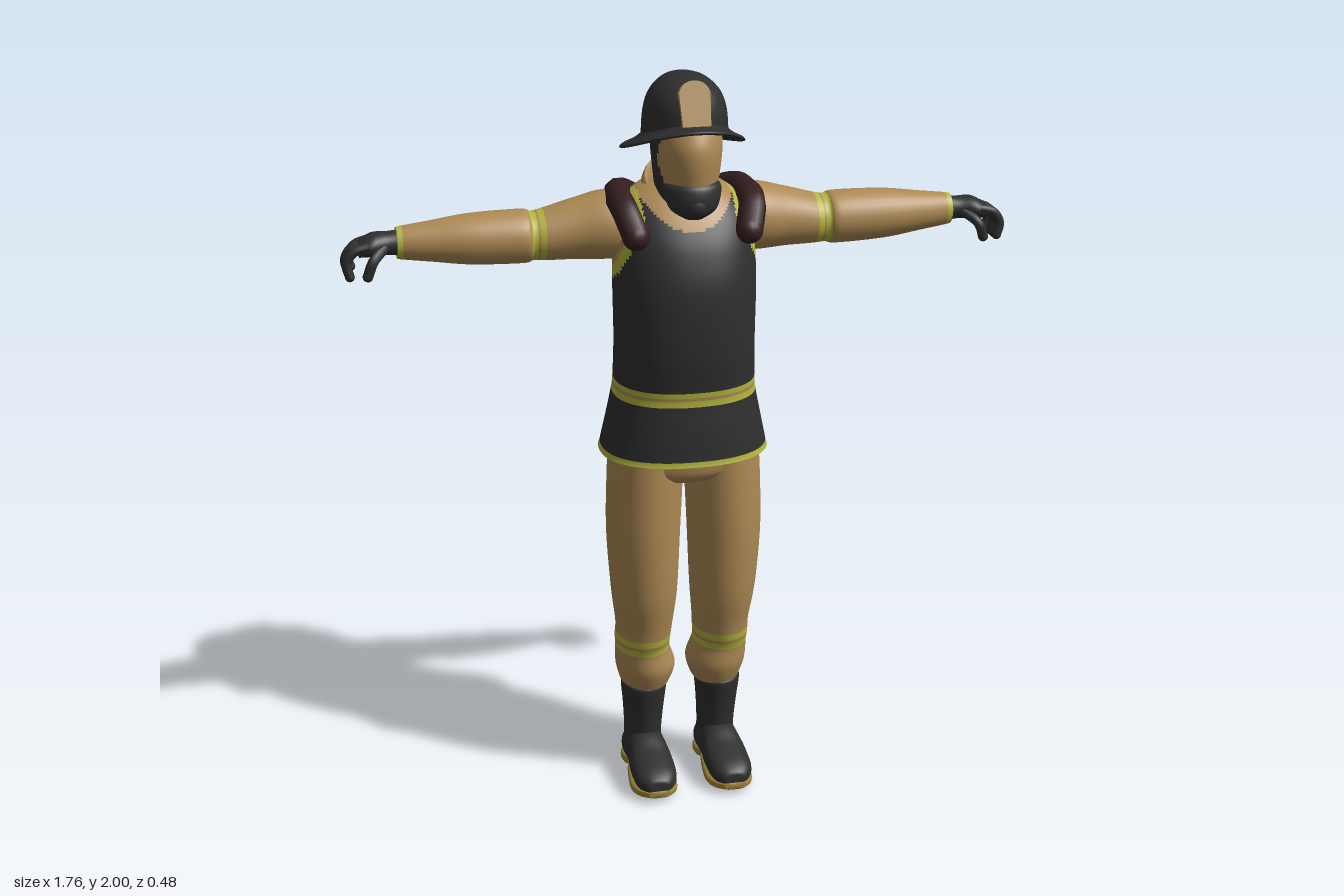
import * as THREE from 'three';

const mat = (name, color) => {
  const m = new THREE.MeshStandardMaterial({ color });
  m.name = name;
  return m;
};

// Catmull-Rom blend of one ring parameter
const blend = (a, b, c, d, t) =>
  0.5 * (2 * b + (c - a) * t + (2 * a - 5 * b + 4 * c - d) * t * t + (3 * b - a - 3 * c + d) * t * t * t);

// Places a ring point: s = sine part, c = cosine part, t = distance along the axis
const AXES = {
  x: (t, s, c) => [t, c, s],
  y: (t, s, c) => [s, t, c],
  z: (t, s, c) => [c, s, t],
};

// Smooth closed skin through rings [t, sineCentre, cosineCentre, sineRadius, cosineRadius].
// pick(x, y, z) gives the material index of each patch; warp moves finished points.
function loft(name, axis, rings, mats, { pick = () => 0, warp, n = 32, steps = 6, e = 2 } = {}) {
  const pos = [], rows = (rings.length - 1) * steps + 1;
  const pw = v => Math.sign(v) * Math.abs(v) ** (2 / e);
  const add = p => pos.push(...(warp ? warp(...p) : p));
  const ringAt = k => {
    const i = Math.min(Math.floor(k / steps), rings.length - 2), t = k / steps - i;
    const R = j => rings[Math.max(0, Math.min(rings.length - 1, j))];
    return R(i).map((_, q) => blend(R(i - 1)[q], R(i)[q], R(i + 1)[q], R(i + 2)[q], t));
  };
  for (let k = 0; k < rows; k++) {
    const [t, cs, cc, rs, rc] = ringAt(k);
    for (let j = 0; j < n; j++) {
      const a = (j / n) * Math.PI * 2;
      add(AXES[axis](t, cs + rs * pw(Math.sin(a)), cc + rc * pw(Math.cos(a))));
    }
  }
  for (const r of [rings[0], rings[rings.length - 1]]) add(AXES[axis](r[0], r[1], r[2]));
  const list = [].concat(mats), idx = list.map(() => []);
  const face = (...v) => {
    const mid = q => v.reduce((s, i) => s + pos[i * 3 + q], 0) / v.length;
    const out = idx[pick(mid(0), mid(1), mid(2))];
    out.push(v[0], v[1], v[2]);
    if (v.length > 3) out.push(v[0], v[2], v[3]);
  };
  for (let j = 0; j < n; j++) {
    const j2 = (j + 1) % n, last = (rows - 1) * n;
    for (let k = 0; k < rows - 1; k++) face(k * n + j, k * n + j2, (k + 1) * n + j2, (k + 1) * n + j);
    face(rows * n, j2, j);
    face(rows * n + 1, last + j, last + j2);
  }
  const g = new THREE.BufferGeometry();
  g.setAttribute('position', new THREE.Float32BufferAttribute(pos, 3));
  g.setIndex(idx.flat());
  let start = 0;
  idx.forEach((a, i) => { g.addGroup(start, a.length, i); start += a.length; });
  g.computeVertexNormals();
  return mesh(name, g, list.length > 1 ? list : list[0]);
}

function mesh(name, geo, material) {
  const m = new THREE.Mesh(geo, material);
  m.name = name;
  return m;
}

function tube(name, pts, r, material, seg = 20) {
  const curve = new THREE.CatmullRomCurve3(pts.map(p => new THREE.Vector3(...p)));
  return mesh(name, new THREE.TubeGeometry(curve, seg, r, 10), material);
}

function ball(name, r, p, material) {
  return mesh(name, new THREE.SphereGeometry(r, 16, 12).translate(...p), material);
}

// Reflected copy on the other side, with corner order turned round
function mirrored(m) {
  const g = m.geometry.clone().scale(-1, 1, 1), a = g.index.array;
  for (let i = 0; i < a.length; i += 3) [a[i], a[i + 1]] = [a[i + 1], a[i]];
  g.computeVertexNormals();
  return mesh(m.name.replace('left', 'right'), g, m.material);
}

export function createModel() {
  const tan = mat('tan cloth', 0xae8a55), dark = mat('charcoal', 0x2f2f2f);
  const yellow = mat('reflective yellow', 0xb3b53c), maroon = mat('maroon strap', 0x341e20);
  const gold = mat('gold', 0x9f8537);
  const model = new THREE.Group();
  model.name = 'firefighter';
  const both = m => model.add(m, mirrored(m));
  // Two reflective stripes with a thin cloth line between
  const stripe = (v, a, b) => v > a && v < b && Math.abs(v - (a + b) / 2) > (b - a) * 0.1;

  // Vest with hem, belt, armholes and neckline
  model.add(loft('vest', 'y', [
    [1.0, 0, 0.04, 0.19, 0.15], [0.985, 0, 0.04, 0.224, 0.178], [1.0, 0, 0.04, 0.222, 0.178],
    [1.08, 0, 0.045, 0.205, 0.17], [1.15, 0, 0.047, 0.191, 0.163], [1.19, 0, 0.05, 0.187, 0.163],
    [1.3, 0, 0.057, 0.184, 0.171], [1.45, 0, 0.058, 0.186, 0.17], [1.55, 0, 0.053, 0.184, 0.153],
    [1.62, 0, 0.04, 0.178, 0.133], [1.67, 0, 0.027, 0.15, 0.11], [1.7, 0, 0.015, 0.11, 0.09], [1.715, 0, 0.01, 0.07, 0.07],
  ], [dark, tan, yellow], {
    n: 96, steps: 8, e: 2.3,
    pick: (x, y, z) => {
      if (y < 1.003) return Math.hypot(x / 0.21, (z - 0.04) / 0.165) < 1 ? 1 : 2;
      if (y > 1.15 && y < 1.192) return stripe(y, 1.15, 1.192) ? 2 : 1;
      const d = Math.hypot(y - 1.59, z - 0.02);
      if (Math.abs(x) > 0.12 && d < 0.125) return d < 0.095 ? 1 : 2;
      if (z > 0 && y > 1.61 + x * x * 5) return 1;
      return z <= 0 && y > 1.6 + x * x * 2 ? 1 : 0;
    },
  }));

  // Collar, higher at the back
  model.add(loft('collar', 'y', [
    [1.61, 0, 0.03, 0.145, 0.115], [1.665, 0, 0.025, 0.115, 0.105], [1.715, 0, 0.02, 0.1, 0.095],
    [1.722, 0, 0.02, 0.088, 0.083], [1.67, 0, 0.02, 0.075, 0.07],
  ], tan, { warp: (x, y, z) => [x, y - 0.5 * z, z] }));

  // Shoulder strap running over both shoulders and round the back
  const half = [[0.148, 1.605, 0.16], [0.166, 1.66, 0.115], [0.168, 1.675, 0.03], [0.148, 1.67, -0.045], [0.08, 1.63, -0.085]];
  const other = half.map(([x, y, z]) => [-x, y, z]).reverse();
  model.add(tube('shoulderStrap', [...half, [0, 1.605, -0.095], ...other], 0.036, maroon, 70));
  half.slice(0, 1).forEach(p => both(ball('left strap end', 0.036, p, maroon)));

  // Head, breathing mask and face
  model.add(loft('head', 'y', [
    [1.6, 0, 0.02, 0.07, 0.07], [1.66, 0, 0.045, 0.07, 0.095], [1.7, 0, 0.068, 0.076, 0.128],
    [1.76, 0, 0.077, 0.084, 0.137], [1.83, 0, 0.078, 0.09, 0.139], [1.89, 0, 0.07, 0.088, 0.12],
  ], [dark, tan], {
    n: 64, steps: 10,
    pick: (x, y, z) => (y > 1.725 && z > 0.115 + 0.5 * Math.abs(y - 1.79) ? 1 : 0),
  }));
  model.add(loft('breathingMask', 'y', [
    [1.648, 0, 0.165, 0.025, 0.025], [1.67, 0, 0.16, 0.058, 0.055], [1.7, 0, 0.155, 0.071, 0.066],
    [1.73, 0, 0.148, 0.073, 0.068], [1.742, 0, 0.145, 0.06, 0.06],
  ], dark));
  model.add(ball('maskValve', 0.036, [0, 1.687, 0.188], dark));

  // Helmet: crown, tilted brim and front plate
  const slope = z => 0.25 * (z - 0.035);
  model.add(loft('helmetCrown', 'y', [
    [1.825, 0, 0.06, 0.111, 0.137], [1.9, 0, 0.06, 0.106, 0.131], [1.95, 0, 0.06, 0.09, 0.114],
    [1.985, 0, 0.06, 0.056, 0.076], [1.999, 0, 0.06, 0.015, 0.025],
  ], dark, { n: 40, warp: (x, y, z) => [x, y + slope(z) * Math.max(0, Math.min(1, (1.98 - y) / 0.16)), z] }));
  model.add(loft('helmetBrim', 'y', [
    [1.835, 0, 0.06, 0.09, 0.115], [1.828, 0, 0.045, 0.13, 0.17], [1.829, 0, 0.035, 0.156, 0.205],
    [1.837, 0, 0.035, 0.154, 0.203], [1.845, 0, 0.05, 0.125, 0.16], [1.86, 0, 0.06, 0.1, 0.128],
  ], dark, { n: 48, warp: (x, y, z) => [x, y + slope(z) - x * x, z] }));
  const plate = new THREE.Shape();
  plate.moveTo(-0.036, -0.055).lineTo(0.036, -0.055).lineTo(0.04, 0.03);
  plate.quadraticCurveTo(0.03, 0.06, 0, 0.06).quadraticCurveTo(-0.03, 0.06, -0.04, 0.03);
  const badge = mesh('helmetFrontPlate', new THREE.ExtrudeGeometry(plate, { depth: 0.03, bevelEnabled: false }), tan);
  badge.position.set(0, 1.933, 0.157);
  badge.rotation.x = -0.34;
  model.add(badge);

  // Sleeves
  both(loft('left sleeve', 'x', [
    [0.12, 0.015, 1.6, 0.09, 0.085], [0.2, 0.008, 1.6, 0.094, 0.09], [0.28, 0.004, 1.592, 0.081, 0.079],
    [0.355, 0.002, 1.582, 0.073, 0.068], [0.39, 0.003, 1.58, 0.066, 0.064], [0.42, 0.008, 1.582, 0.072, 0.07],
    [0.55, 0.008, 1.583, 0.067, 0.066], [0.65, 0.006, 1.583, 0.052, 0.053], [0.72, 0.004, 1.583, 0.04, 0.044],
    [0.738, 0.004, 1.583, 0.037, 0.041],
  ], [tan, yellow], { steps: 10, pick: x => (x > 0.722 || stripe(x, 0.36, 0.397) ? 1 : 0) }));

  // Gloves with curled fingers
  both(loft('left glove', 'x', [
    [0.715, 0.004, 1.583, 0.033, 0.036], [0.76, 0.005, 1.585, 0.034, 0.03],
    [0.8, 0.008, 1.584, 0.045, 0.03], [0.835, 0.01, 1.575, 0.04, 0.02],
  ], dark));
  for (let i = 0; i < 4; i++) {
    const z = 0.008 + (i - 1.5) * 0.023, k = i === 0 ? 0.008 : 0;
    both(tube('left finger', [[0.81, 1.588, z], [0.85 - k, 1.576, z], [0.869 - k, 1.545, z], [0.862 - k, 1.512 + k, z]], 0.0125, dark));
    both(ball('left fingertip', 0.0125, [0.862 - k, 1.512 + k, z], dark));
  }
  both(tube('left thumb', [[0.77, 1.58, 0.03], [0.803, 1.553, 0.062], [0.818, 1.515, 0.06]], 0.0135, dark));
  both(ball('left thumb tip', 0.0135, [0.818, 1.515, 0.06], dark));

  // Trousers
  model.add(loft('hips', 'y', [[0.92, 0, 0.05, 0.15, 0.11], [0.95, 0, 0.05, 0.198, 0.135], [1.02, 0, 0.048, 0.2, 0.145]], tan));
  both(loft('left trouser leg', 'y', [
    [0.263, 0.1, 0, 0.058, 0.076], [0.28, 0.1, 0, 0.069, 0.088], [0.33, 0.1, 0.01, 0.082, 0.097],
    [0.385, 0.109, 0.018, 0.075, 0.092], [0.42, 0.11, 0.024, 0.076, 0.097], [0.47, 0.108, 0.034, 0.078, 0.099],
    [0.58, 0.11, 0.048, 0.09, 0.112], [0.75, 0.112, 0.05, 0.099, 0.127], [0.9, 0.107, 0.05, 0.101, 0.13], [0.99, 0.103, 0.05, 0.1, 0.13],
  ], [tan, yellow], { n: 40, steps: 10, pick: (x, y) => (stripe(y, 0.39, 0.44) ? 1 : 0) }));

  // Boots
  both(loft('left boot shaft', 'y', [
    [0.04, 0.105, -0.01, 0.053, 0.058], [0.12, 0.105, -0.004, 0.052, 0.063], [0.2, 0.105, 0.006, 0.057, 0.067],
    [0.265, 0.105, 0.012, 0.063, 0.075], [0.278, 0.105, 0.012, 0.059, 0.07],
  ], dark));
  both(loft('left boot foot', 'z', [
    [-0.072, 0.055, 0.105, 0.03, 0.035], [-0.03, 0.06, 0.105, 0.05, 0.056], [0.05, 0.068, 0.105, 0.062, 0.055],
    [0.12, 0.06, 0.106, 0.047, 0.061], [0.19, 0.052, 0.107, 0.036, 0.057], [0.225, 0.048, 0.107, 0.022, 0.035],
    [0.231, 0.045, 0.107, 0.01, 0.016],
  ], dark, { e: 2.3 }));
  both(loft('left boot sole', 'z', [
    [-0.073, 0.016, 0.105, 0.014, 0.042], [-0.04, 0.016, 0.105, 0.016, 0.057], [0, 0.017, 0.105, 0.016, 0.054],
    [0.03, 0.03, 0.105, 0.012, 0.05], [0.07, 0.019, 0.106, 0.016, 0.058], [0.15, 0.017, 0.107, 0.015, 0.065],
    [0.2, 0.022, 0.107, 0.013, 0.054], [0.233, 0.028, 0.107, 0.01, 0.028],
  ], gold, { e: 4 }));

  // Air tank on the back
  const tank = new THREE.Group();
  tank.name = 'airTank';
  const turned = (name, pts, m) => tank.add(mesh(name, new THREE.LatheGeometry(pts.map(p => new THREE.Vector2(...p)), 32), m));
  turned('tankBody', [[0.059, 1.33], [0.059, 1.61]], gold);
  turned('tankTop', [[0.061, 1.605], [0.059, 1.618], [0.048, 1.636], [0.028, 1.648], [0, 1.652]], dark);
  turned('tankBase', [[0, 1.3], [0.026, 1.304], [0.048, 1.317], [0.06, 1.338]], dark);
  turned('tankBand', [[0.058, 1.468], [0.066, 1.47], [0.066, 1.512], [0.058, 1.514]], dark);
  turned('tankValve', [[0, 1.258], [0.022, 1.258], [0.022, 1.31]], dark);
  tank.add(mesh('tankBracket', new THREE.BoxGeometry(0.07, 0.04, 0.08).translate(0, 1.49, 0.07), dark));
  tank.position.z = -0.176;
  model.add(tank);
  return model;
}
